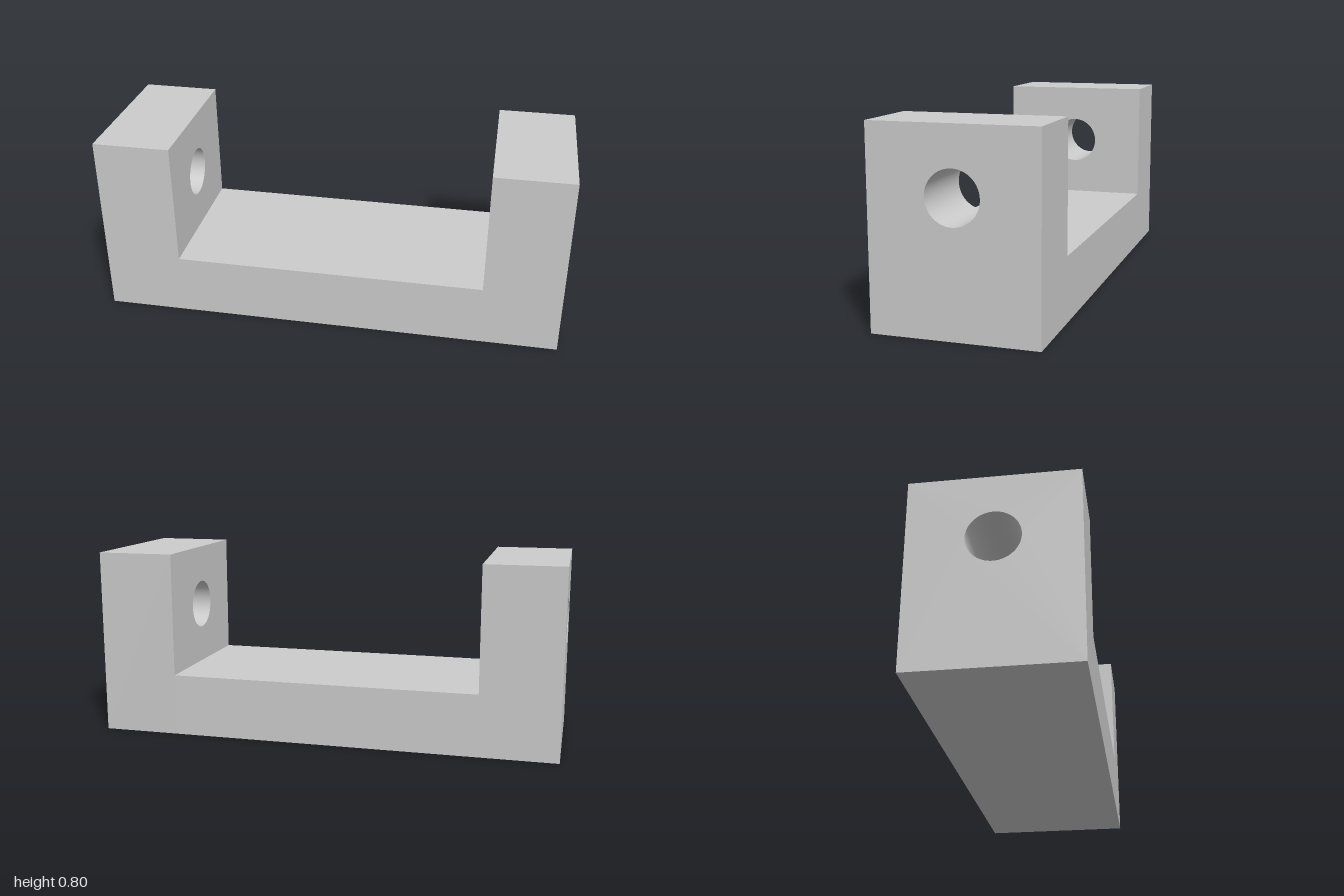
import * as THREE from 'three';

const WIDTH = 2, DEPTH = 0.6667, HEIGHT = 0.8;
const BASE = 0.2667, WALL = 0.3333;
const HOLE_Y = 0.5333, HOLE_R = 0.1067;

export function createModel() {
  const group = new THREE.Group();
  group.name = 'bracket';
  const grey = new THREE.MeshStandardMaterial({ color: 0xcccccc });
  grey.name = 'light grey';

  // Side view of an upright, with its round through hole
  const side = new THREE.Shape([
    new THREE.Vector2(-DEPTH / 2, 0),
    new THREE.Vector2(DEPTH / 2, 0),
    new THREE.Vector2(DEPTH / 2, HEIGHT),
    new THREE.Vector2(-DEPTH / 2, HEIGHT),
  ]);
  side.holes.push(new THREE.Path().absarc(0, HOLE_Y, HOLE_R, 0, Math.PI * 2, true));
  const uprightGeometry = new THREE.ExtrudeGeometry(side, {
    depth: WALL, bevelEnabled: false, curveSegments: 64,
  });
  uprightGeometry.translate(0, 0, -WALL / 2).rotateY(Math.PI / 2);

  // Smooth normals on the wall of the hole, pointing at its axis
  const { position, normal } = uprightGeometry.attributes;
  for (let i = 0; i < position.count; i++) {
    const y = position.getY(i) - HOLE_Y, z = position.getZ(i);
    const r = Math.hypot(y, z);
    if (r < HOLE_R * 1.01 && Math.abs(normal.getX(i)) < 0.5) normal.setXYZ(i, 0, -y / r, -z / r);
  }

  // Matching uprights at both ends
  for (const [name, s] of [['leftUpright', 1], ['rightUpright', -1]]) {
    const upright = new THREE.Mesh(uprightGeometry, grey);
    upright.name = name;
    upright.position.x = s * (WIDTH - WALL) / 2;
    group.add(upright);
  }

  // Base bar joining the uprights
  const base = new THREE.Mesh(new THREE.BoxGeometry(WIDTH - 2 * WALL, BASE, DEPTH), grey);
  base.name = 'base';
  base.position.y = BASE / 2;
  group.add(base);

  return group;
}
